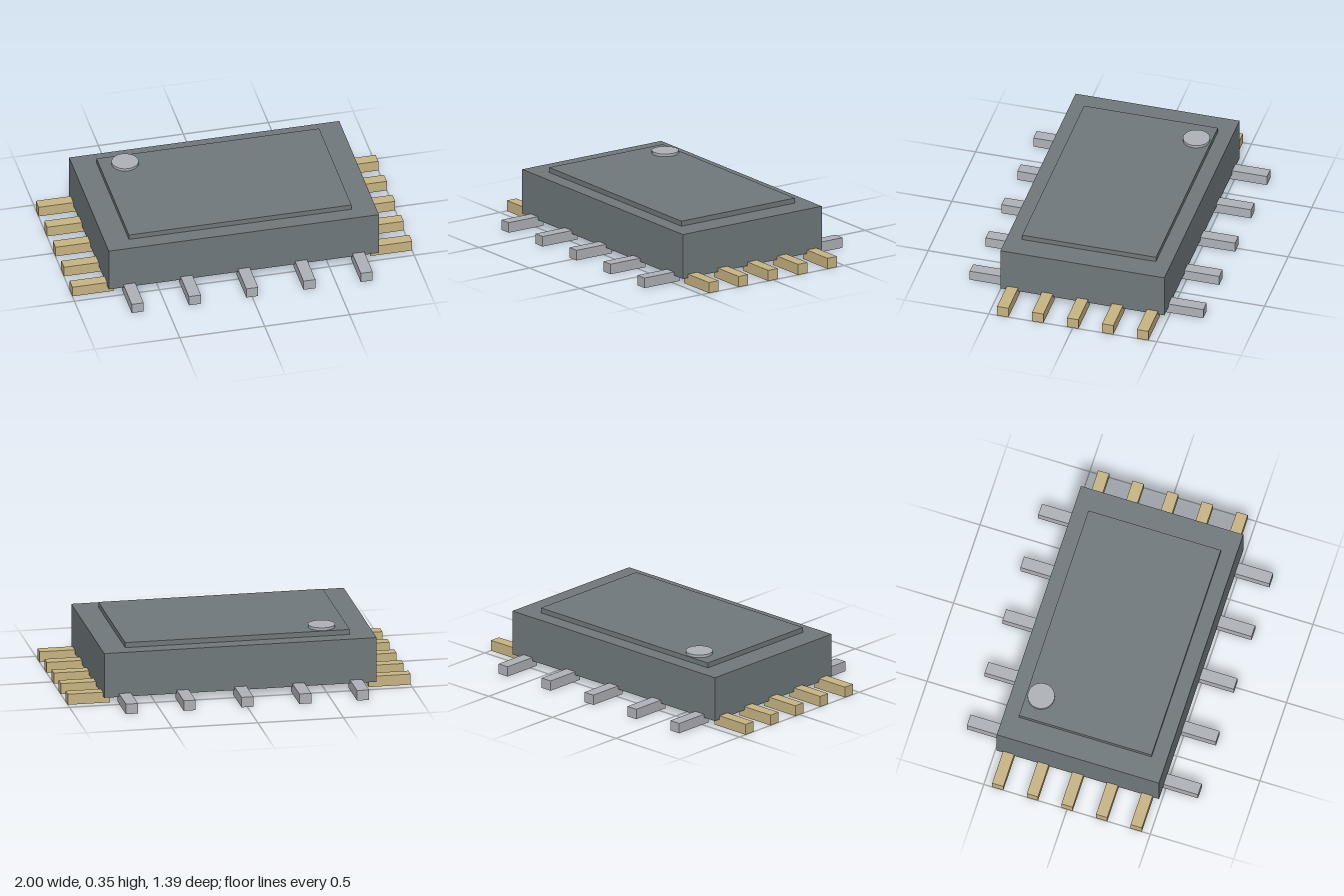
import * as THREE from 'three';

function material(name, color) {
  const m = new THREE.MeshStandardMaterial({ color });
  m.name = name;
  return m;
}

export function createModel() {
  const model = new THREE.Group();
  model.name = 'chipPackage';
  const grey = material('slateGrey', 0x70797c);
  const gold = material('gold', 0xc9b583);
  const silver = material('silver', 0xafb2b9);

  const add = (name, geometry, mat, x, y, z) => {
    const mesh = new THREE.Mesh(geometry, mat);
    mesh.name = name;
    mesh.position.set(x, y, z);
    model.add(mesh);
  };

  // Housing, raised lid and orientation dot
  add('housing', new THREE.BoxGeometry(1.59, 0.265, 0.975), grey, 0, 0.1735, 0);
  add('lid', new THREE.BoxGeometry(1.31, 0.03, 0.796), grey, 0, 0.321, 0);
  add('orientationDot', new THREE.CylinderGeometry(0.078, 0.078, 0.016, 20), silver, -0.508, 0.344, -0.312);

  // Five contacts along each side, tucked slightly under the housing
  const sidePin = new THREE.BoxGeometry(0.245, 0.063, 0.067);
  const endPin = new THREE.BoxGeometry(0.07, 0.06, 0.245);
  for (const side of [-1, 1]) {
    for (let i = -2; i <= 2; i++) {
      add('goldContact', sidePin, gold, side * 0.8775, 0.0315, i * 0.208);
      add('silverContact', endPin, silver, i * 0.337, 0.031, side * 0.572);
    }
  }
  return model;
}
